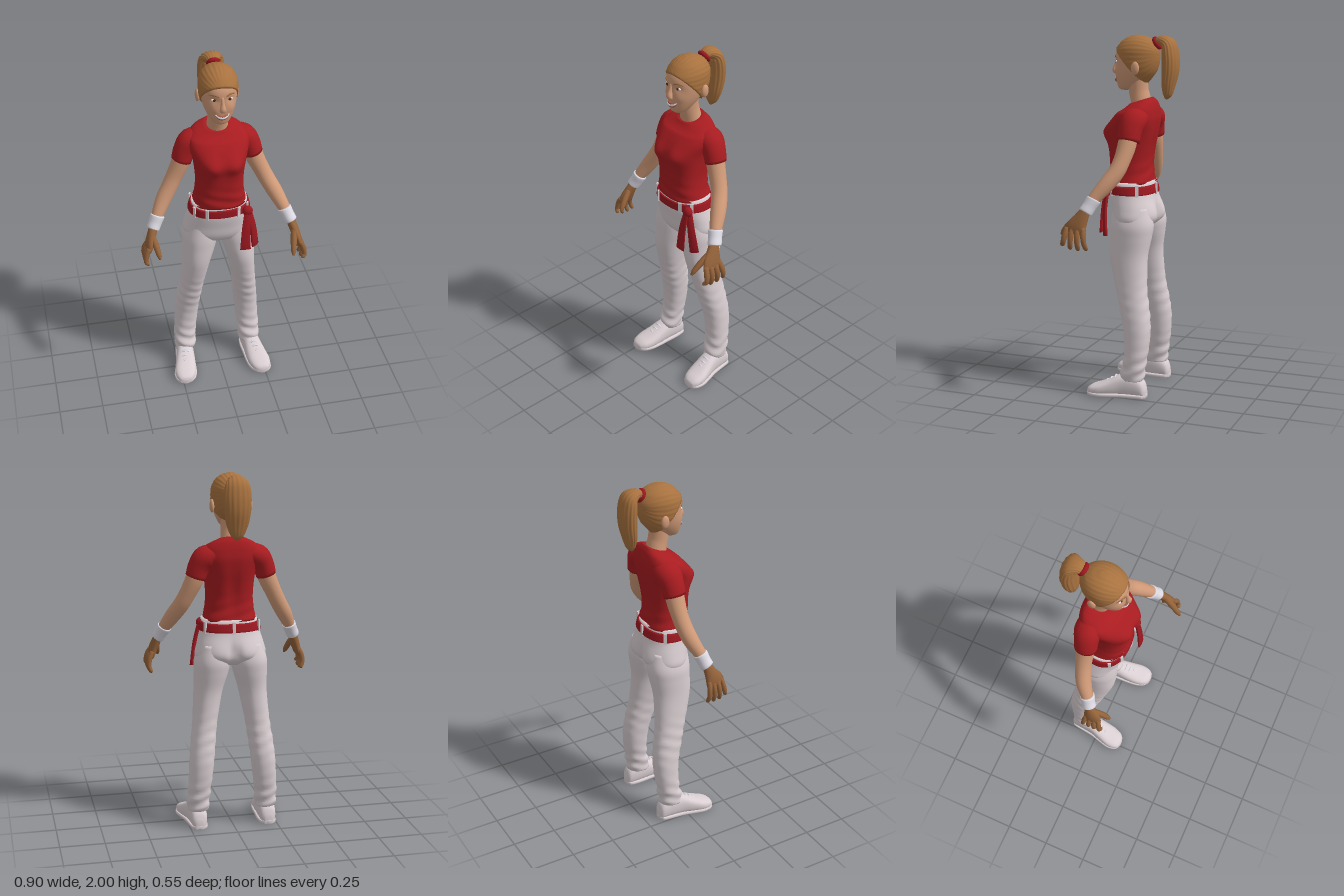
import * as THREE from 'three';

const paint = (name, color) => Object.assign(new THREE.MeshStandardMaterial({ color }), { name });
const M = {
  skin: paint('skin', 0xd09a78),
  hair: paint('hair', 0xa8723f),
  hand: paint('hand brown', 0x93623a),
  shirt: paint('shirt red', 0xa81c20),
  sash: paint('sash red', 0x9c1820),
  cloth: paint('trouser white', 0xd9ced1),
  band: paint('band white', 0xdedbe4),
  eye: paint('eye brown', 0x4a2e1c),
  lip: paint('lip', 0xa8604a),
};
const X = new THREE.Vector3(1, 0, 0), Y = new THREE.Vector3(0, 1, 0), Z = new THREE.Vector3(0, 0, 1);
const bump = (a, b, s) => Math.exp(-((a - b) ** 2) / (s * s));
const mirror = (secs) => secs.map(([x, ...rest]) => [-x, ...rest]);
// horizontal section from its centre x, half width, front z and back z
const slab = (y, x, rx, zf, zb) => [x, y, (zf + zb) / 2, rx, (zf - zb) / 2];

// Smooth closed skin over sections [x, y, z, half width along ref, half depth]
function loft(name, mat, secs, { ref = X, axis, n = 24, steps = 4, pow = 2, warp, rib = [0, 1] } = {}) {
  const path = new THREE.CatmullRomCurve3(secs.map((s) => new THREE.Vector3(s[0], s[1], s[2])));
  const size = new THREE.CatmullRomCurve3(secs.map((s) => new THREE.Vector3(s[3], s[4], 0)), false, 'catmullrom');
  const rings = (secs.length - 1) * steps, pos = [], idx = [];
  const put = (p) => { if (warp) warp(p); pos.push(p.x, p.y, p.z); };
  for (let i = 0; i <= rings; i++) {
    const c = path.getPoint(i / rings), r = size.getPoint(i / rings);
    const t = axis || path.getTangent(i / rings);
    const u = ref.clone().addScaledVector(t, -ref.dot(t)).normalize();
    const v = t.clone().cross(u);
    for (let j = 0; j < n; j++) {
      const a = (j / n) * Math.PI * 2, k = 1 + rib[0] * Math.sin(a * rib[1]);
      const se = (q) => Math.sign(q) * Math.abs(q) ** (2 / pow) * k;
      put(c.clone().addScaledVector(u, r.x * se(Math.cos(a))).addScaledVector(v, r.y * se(Math.sin(a))));
      if (i < rings) {
        const A = i * n + j, B = i * n + ((j + 1) % n);
        idx.push(A, B, A + n, B, B + n, A + n);
      }
    }
  }
  put(path.getPoint(0));
  put(path.getPoint(1));
  const s = (rings + 1) * n;
  for (let j = 0; j < n; j++) {
    const k = (j + 1) % n;
    idx.push(s, k, j, s + 1, rings * n + j, rings * n + k);
  }
  const g = new THREE.BufferGeometry();
  g.setAttribute('position', new THREE.Float32BufferAttribute(pos, 3));
  g.setIndex(idx);
  g.computeVertexNormals();
  const m = new THREE.Mesh(g, mat);
  m.name = name;
  return m;
}
function ball(name, mat, p, s) {
  const m = new THREE.Mesh(new THREE.SphereGeometry(1, 20, 14), mat);
  m.name = name;
  m.position.set(...p);
  m.scale.set(...s);
  return m;
}

function head() {
  const g = new THREE.Group();
  g.name = 'head';
  g.add(loft('neck', M.skin, [[0, 1.57, -.08, .07, .06], [0, 1.65, -.062, .058, .056], [0, 1.7, -.05, .053, .055], [0, 1.79, -.045, .055, .056]]));
  // face with shallow eye sockets, cheeks and chin
  g.add(loft('face', M.skin, [slab(1.7, 0, .026, .05, 0), slab(1.712, 0, .046, .066, -.03), slab(1.75, 0, .07, .075, -.08),
    slab(1.79, 0, .086, .078, -.115), slab(1.84, 0, .096, .078, -.145), slab(1.88, 0, .097, .079, -.155),
    slab(1.92, 0, .094, .068, -.155), slab(1.96, 0, .07, .035, -.125), slab(1.98, 0, .04, 0, -.09)],
  { axis: Y, n: 40, pow: 2.15, warp: (p) => {
    if (p.z < .02) return;
    const ax = Math.abs(p.x);
    p.z += -.008 * bump(ax, .042, .022) * bump(p.y, 1.858, .016) + .006 * bump(ax, .052, .025) * bump(p.y, 1.805, .025);
  } }));
  g.add(loft('nose', M.skin, [[0, 1.875, .07, .009, .01], [0, 1.835, .08, .011, .014], [0, 1.805, .088, .018, .016], [0, 1.79, .076, .014, .008]], { n: 16 }));
  // smiling mouth
  const smile = (r) => [[-.038, 1.772, .064, .002, .003], [-.02, 1.76, .077, r, .006], [0, 1.756, .082, r, .006], [.02, 1.76, .077, r, .006], [.038, 1.772, .064, .002, .003]];
  g.add(loft('lips', M.lip, smile(.013), { ref: Y, n: 12 }));
  const teeth = loft('teeth', M.band, smile(.006), { ref: Y, n: 12 });
  teeth.position.z = .003;
  g.add(teeth);
  for (const s of [-1, 1]) {
    g.add(ball('eye', M.band, [s * .042, 1.857, .06], [.017, .008, .009]));
    g.add(ball('iris', M.eye, [s * .041, 1.857, .066], [.008, .008, .005]));
    const brow = [[.02, 1.88, .078, .004, .003], [.045, 1.889, .07, .005, .003], [.07, 1.879, .05, .002, .002]];
    g.add(loft('eyebrow', M.hair, s > 0 ? brow : mirror(brow), { ref: Y, n: 10 }));
    g.add(ball('ear', M.skin, [s * .106, 1.825, -.068], [.013, .036, .023]));
  }
  // combed-back hair; everything below the hairline tucks inside the head
  g.add(loft('hair', M.hair, [slab(1.725, 0, .055, .03, -.09), slab(1.76, 0, .08, .06, -.12), slab(1.8, 0, .096, .088, -.15),
    slab(1.84, 0, .104, .09, -.165), slab(1.88, 0, .106, .09, -.171), slab(1.925, 0, .102, .077, -.168),
    slab(1.965, 0, .081, .046, -.143), slab(1.987, 0, .053, .013, -.108), slab(2.0, 0, .016, -.025, -.065)],
  { axis: Y, n: 80, steps: 8, warp: (p) => {
    const d = p.y - 1.93 - (p.z - .07) * 1.1;
    const k = (1 - .2 * THREE.MathUtils.smoothstep(-d, 0, .018)) * (1 + .006 * Math.sin(Math.atan2(p.x, p.y - 1.9) * 26));
    p.set(p.x * k, Math.min(2, 1.85 + (p.y - 1.85) * k), -.04 + (p.z + .04) * k);
  } }));
  g.add(loft('ponytail', M.hair, [[0, 1.95, -.145, .025, .022], [0, 1.972, -.18, .04, .025], [0, 1.955, -.22, .062, .036],
    [0, 1.9, -.234, .072, .042], [0, 1.82, -.235, .07, .044], [0, 1.74, -.225, .058, .036], [0, 1.68, -.218, .034, .024], [0, 1.655, -.21, .008, .008]],
  { n: 60, steps: 6, rib: [.04, 15] }));
  const tie = new THREE.Mesh(new THREE.TorusGeometry(.026, .013, 12, 28), M.sash);
  tie.name = 'hairTie';
  tie.position.set(0, 1.958, -.158);
  tie.rotation.x = .56;
  g.add(tie);
  return g;
}

function shirt() {
  const g = new THREE.Group();
  g.name = 'shirt';
  g.add(loft('shirtBody', M.shirt, [slab(1.19, 0, .15, .103, -.138), slab(1.25, 0, .137, .103, -.128), slab(1.32, 0, .131, .105, -.128),
    slab(1.4, 0, .136, .112, -.14), slab(1.47, 0, .146, .118, -.154), slab(1.54, 0, .166, .085, -.162),
    slab(1.59, 0, .16, .045, -.157), slab(1.622, 0, .125, .012, -.145), slab(1.645, 0, .07, -.005, -.128)],
  { axis: Y, n: 48, steps: 6, pow: 2.5, warp: (p) => {
    if (p.z > 0) p.z += .024 * bump(Math.abs(p.x), .066, .05) * bump(p.y, 1.47, .055);
    if (p.z < -.05) p.z += .012 * bump(p.x, 0, .03) * bump(p.y, 1.38, .15);
    p.z += .003 * Math.sin(p.y * 90 + p.x * 25) * bump(p.y, 1.22, .08);
    p.y += Math.max(0, p.y - 1.58) * (-.07 - p.z) * 5;
  } }));
  const sleeve = [[.09, 1.555, -.075, .055, .07], [.145, 1.545, -.075, .066, .074], [.178, 1.5, -.07, .061, .066], [.199, 1.437, -.065, .056, .062]];
  g.add(loft('leftSleeve', M.shirt, sleeve), loft('rightSleeve', M.shirt, mirror(sleeve)));
  return g;
}

// one arm; side is +1 for left, and the right arm hangs further back
function arm(side) {
  const g = new THREE.Group(), left = side > 0;
  g.name = left ? 'leftArm' : 'rightArm';
  const add = (name, mat, secs, opt) => g.add(loft(name, mat, left ? secs : mirror(secs), opt));
  const z = left ? [-.065, -.06, -.045, -.025, .02, .075, .105] : [-.065, -.065, -.06, -.05, -.03, .005, .025];
  const line = [[.18, 1.5, .05], [.205, 1.42, .051], [.242, 1.34, .046], [.272, 1.28, .045], [.312, 1.21, .043], [.352, 1.135, .034], [.38, 1.075, .029]];
  add('armSkin', M.skin, line.map(([x, y, r], i) => [x, y, z[i], r, r]), { ref: Z });
  const [z0, z1] = [z[5], z[6] + .007];
  add('wristband', M.band, [[.35, 1.138, z0, .036, .036], [.352, 1.133, z0 + .002, .041, .04], [.367, 1.1, (z0 + z1) / 2, .038, .037],
    [.382, 1.07, z1 - .002, .039, .036], [.384, 1.066, z1, .033, .031]], { ref: Z });
  // hand: depth is squeezed and shifted back on the right
  const hz = (secs) => secs.map(([x, y, d, a, b]) => [x, y, left ? d : .03 + (d - .115) * .8, left ? a : a * .85, b]);
  add('palm', M.hand, hz([[.378, 1.08, .11, .027, .024], [.394, 1.035, .132, .042, .025], [.409, .99, .152, .058, .023], [.418, .955, .158, .06, .017]]), { ref: Z });
  for (let i = 0; i < 4; i++) {
    const a = .204 - i * .031, b = .228 - i * .046, tip = [.885, .868, .864, .868][i];
    add('finger', M.hand, hz([[.415, .985, a, .014, .014], [.433, .945, (a * 2 + b) / 3, .016, .015], [.438, .905, (a + b * 2) / 3, .014, .013],
      [.428, tip + .008, b, .012, .011], [.425, tip, b, .004, .004]]), { ref: Z, n: 12 });
  }
  add('thumb', M.hand, hz([[.392, 1.04, .15, .02, .017], [.378, .995, .205, .02, .017], [.368, .955, .245, .015, .014], [.364, .935, .262, .006, .006]]), { ref: Z, n: 12 });
  return g;
}

function trousers() {
  const g = new THREE.Group();
  g.name = 'trousers';
  g.add(loft('hips', M.cloth, [slab(1.2, 0, .153, .1, -.137), slab(1.12, 0, .17, .098, -.15), slab(1.05, 0, .19, .085, -.168),
    slab(.99, 0, .2, .075, -.168), slab(.945, 0, .16, .05, -.13), slab(.93, 0, .08, 0, -.08)],
  { axis: Y.clone().negate(), n: 48, pow: 2.3, warp: (p) => {
    if (p.z < -.05) p.z += (.026 * bump(p.x, 0, .022) - .014 * bump(Math.abs(p.x), .085, .06)) * bump(p.y, 1.01, .06);
  } }));
  // y, inner x, outer x, front z, back z
  const leg = [[1.06, .03, .175, .06, -.15], [.97, .005, .204, .07, -.172], [.9, .015, .207, .071, -.166], [.8, .045, .207, .068, -.15],
    [.7, .066, .213, .047, -.15], [.6, .084, .222, .02, -.156], [.5, .096, .235, -.006, -.172], [.4, .107, .246, -.03, -.184],
    [.3, .118, .252, -.04, -.18], [.2, .13, .257, -.036, -.166], [.13, .134, .258, -.02, -.158], [.1, .137, .255, -.02, -.152]]
    .map(([y, a, b, f, r]) => slab(y, (a + b) / 2, (b - a) / 2, f, r));
  const warp = (p) => {
    const w = .005 * bump(p.y, .17, .1) + .003 * bump(p.y, .52, .12);
    p.z += w * Math.sin(p.y * 95 + p.x * 30);
    p.x += w * .6 * Math.sin(p.y * 80 + p.z * 40);
  };
  const opt = { axis: Y.clone().negate(), n: 32, steps: 6, pow: 2.2, warp };
  g.add(loft('leftLeg', M.cloth, leg, opt), loft('rightLeg', M.cloth, mirror(leg), opt));
  return g;
}

function shoe(side) {
  const g = new THREE.Group();
  g.name = side > 0 ? 'leftShoe' : 'rightShoe';
  // z, centre x, half width, top
  const form = [[-.172, .2, .02, .05], [-.155, .2, .042, .095], [-.1, .201, .05, .13], [-.03, .207, .053, .128], [.03, .216, .06, .1],
    [.09, .226, .064, .074], [.135, .231, .054, .058], [.158, .234, .034, .042], [.165, .235, .012, .026]];
  g.add(loft('upper', M.cloth, form.map(([z, x, w, h]) => [side * x, h / 2, z, w, h / 2]), { axis: Z, pow: 2.5 }));
  g.add(loft('sole', M.cloth, form.map(([z, x, w]) => [side * x, .012, z, w * 1.07, .012]), { axis: Z, pow: 4 }));
  for (let i = 0; i < 4; i++) {
    const z = i * .024, h = .117 - i * .0145, x = side * (.212 + i * .004);
    g.add(loft('lace', M.band, [[x - .03, h - .012, z, .005, .004], [x, h + .002, z + .004, .005, .004], [x + .03, h - .012, z, .005, .004]], { ref: Z, n: 8 }));
  }
  return g;
}

function belt() {
  const g = new THREE.Group();
  g.name = 'belt';
  g.add(loft('beltBand', M.sash, [slab(1.13, 0, .166, .1, -.146), slab(1.133, 0, .175, .107, -.156), slab(1.155, 0, .171, .108, -.153),
    slab(1.177, 0, .165, .107, -.148), slab(1.18, 0, .156, .1, -.14)], { axis: Y, n: 48, pow: 2.3 }));
  for (const deg of [35, 62, 118, 150, 210, 270, 330]) {
    const a = deg * Math.PI / 180, se = (q) => Math.sign(q) * Math.abs(q) ** (2 / 2.3);
    const loop = new THREE.Mesh(new THREE.BoxGeometry(.018, .065, .008), M.cloth);
    loop.name = 'beltLoop';
    loop.position.set(.172 * se(Math.cos(a)), 1.157, -.023 + .132 * se(Math.sin(a)));
    loop.rotation.y = Math.PI / 2 - a;
    g.add(loop);
  }
  // knot and two hanging ends
  g.add(ball('sashKnot', M.sash, [.14, 1.15, .083], [.03, .03, .024]));
  g.add(loft('sashEnd', M.sash, [[.138, 1.15, .09, .016, .01], [.128, 1.05, .11, .023, .008], [.122, .915, .122, .029, .007]], { pow: 3, rib: [.08, 5] }));
  g.add(loft('sashEnd', M.sash, [[.148, 1.15, .08, .016, .01], [.172, 1.04, .085, .02, .009], [.188, .905, .076, .025, .009]], { pow: 3, rib: [.08, 5], ref: new THREE.Vector3(.8, 0, -.6) }));
  return g;
}

export function createModel() {
  const model = new THREE.Group();
  model.name = 'standingWoman';
  model.add(head(), shirt(), trousers(), belt());
  for (const s of [1, -1]) model.add(arm(s), shoe(s));
  return model;
}
